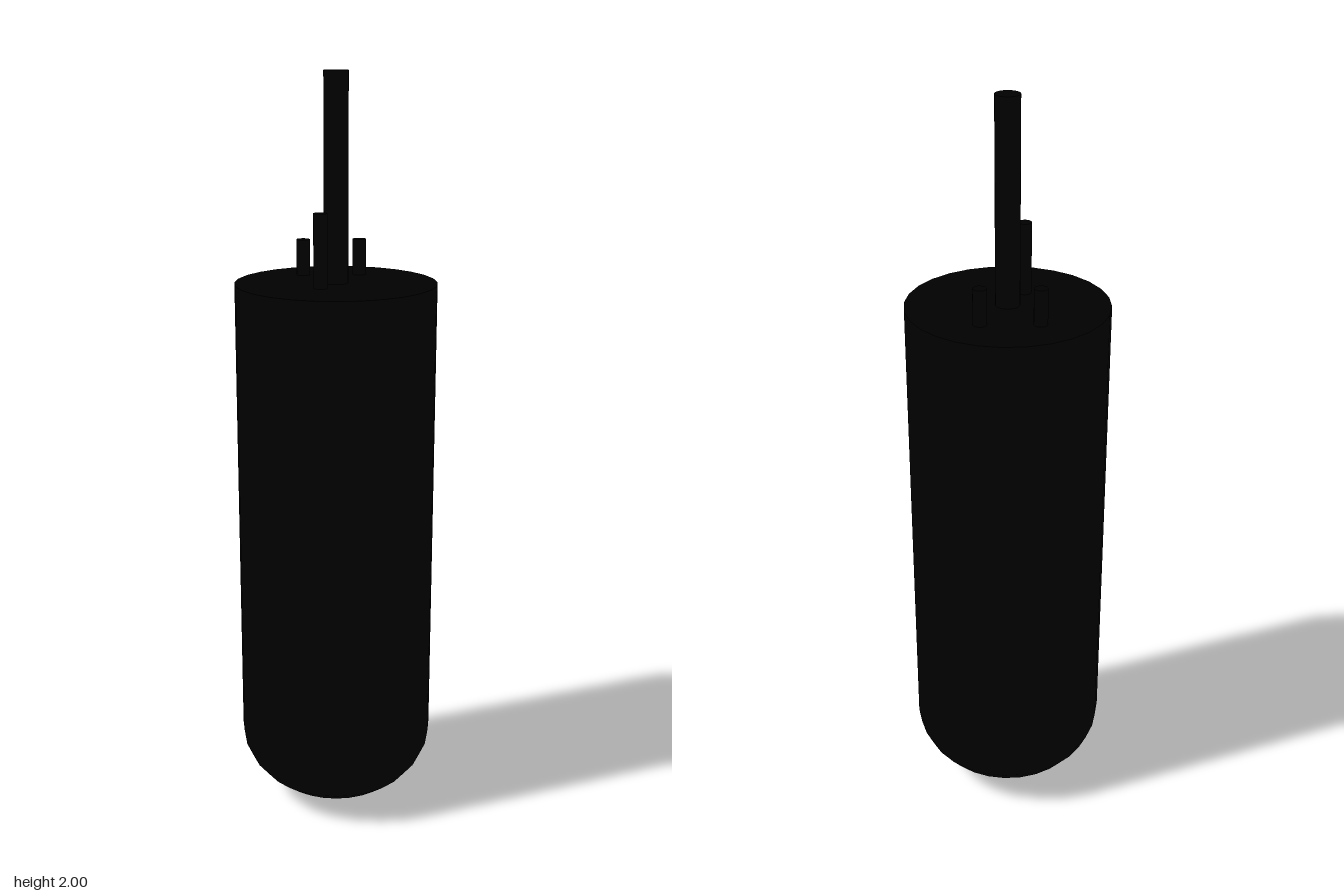
import * as THREE from 'three';

const RADIUS = 0.265, DOME = 0.2, TOP = 1.465, SIDES = 28;

export function createModel() {
  const model = new THREE.Group();
  model.name = 'canister';
  const black = new THREE.MeshStandardMaterial({ color: 0x000000 });

  const add = (name, geometry, x, y, z) => {
    const mesh = new THREE.Mesh(geometry, black);
    mesh.name = name;
    mesh.position.set(x, y, z);
    model.add(mesh);
  };

  // Upright rod standing on the flat top
  const addRod = (name, radius, top, x, z, sides) => {
    const height = top - TOP;
    add(name, new THREE.CylinderGeometry(radius, radius, height, sides), x, TOP + height / 2, z);
  };

  // Straight body
  const bodyHeight = TOP - DOME;
  add('body', new THREE.CylinderGeometry(RADIUS, RADIUS, bodyHeight, SIDES), 0, DOME + bodyHeight / 2, 0);

  // Flattened dome underneath
  const dome = new THREE.SphereGeometry(RADIUS, SIDES, 7, 0, Math.PI * 2, Math.PI / 2, Math.PI / 2);
  dome.scale(1, DOME / RADIUS, 1);
  add('bottomDome', dome, 0, DOME, 0);

  // Central mast and the three small pins around it
  addRod('mast', 0.032, 2, 0, 0, 24);
  addRod('tallPin', 0.018, 1.655, 0, 0.092, 16);
  addRod('backPin', 0.018, 1.56, 0, -0.145, 16);
  addRod('sidePin', 0.018, 1.56, -0.132, -0.073, 16);

  return model;
}
